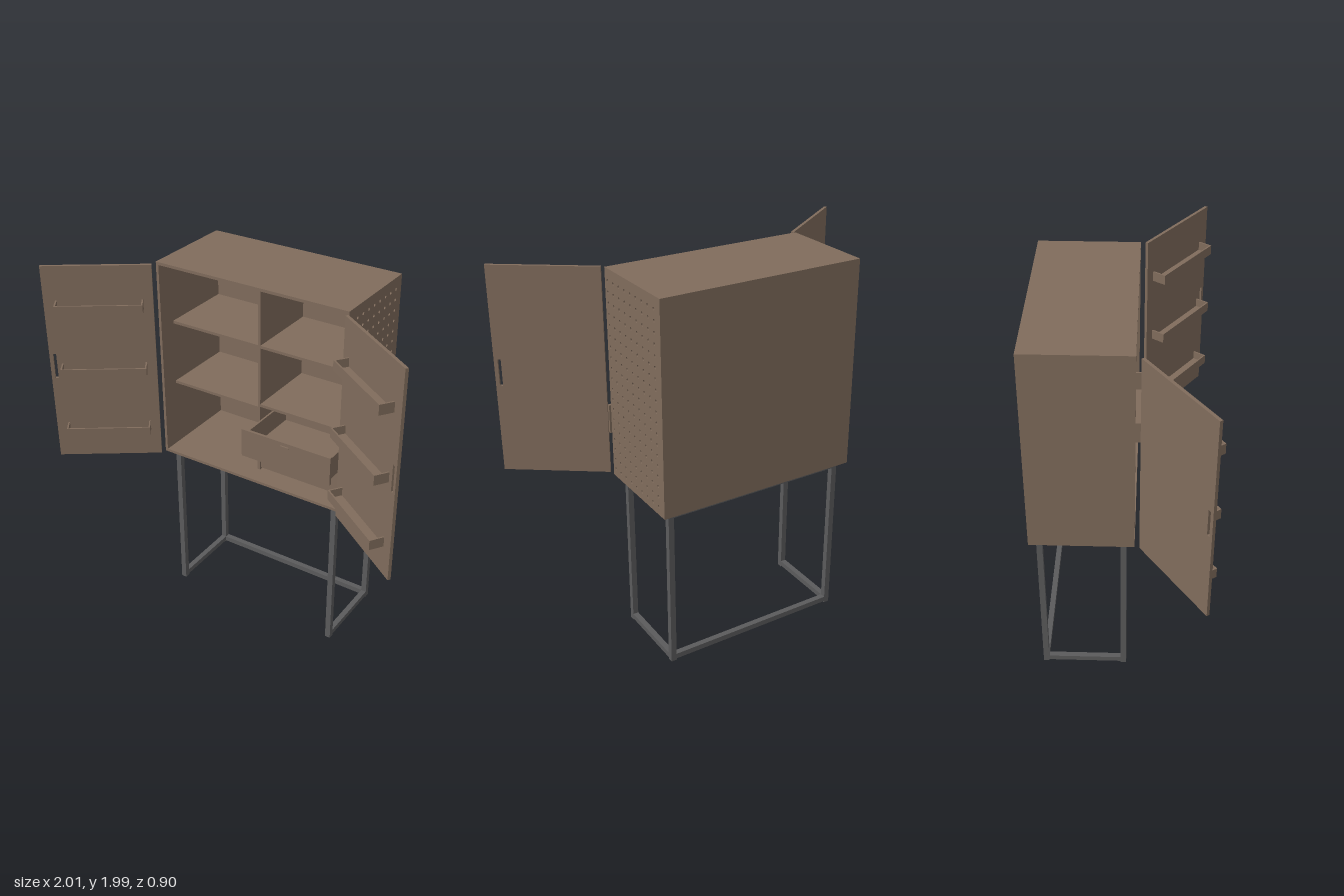
import * as THREE from 'three';

const wood = new THREE.MeshStandardMaterial({ color: 0x806c5c });
wood.name = 'walnut wood';
const metal = new THREE.MeshStandardMaterial({ color: 0x5b5b5c });
metal.name = 'dark grey metal';

// Box given by its min and max on each axis
function box(parent, name, x0, x1, y0, y1, z0, z1, mat = wood) {
  const m = new THREE.Mesh(new THREE.BoxGeometry(x1 - x0, y1 - y0, z1 - z0), mat);
  m.position.set((x0 + x1) / 2, (y0 + y1) / 2, (z0 + z1) / 2);
  m.name = name;
  parent.add(m);
  return m;
}

function group(parent, name) {
  const g = new THREE.Group();
  g.name = name;
  parent.add(g);
  return g;
}

function rect(Type, x0, x1, y0, y1) {
  const s = new Type();
  s.moveTo(x0, y0);
  s.lineTo(x1, y0);
  s.lineTo(x1, y1);
  s.lineTo(x0, y1);
  s.closePath();
  return s;
}

const W = 0.545, T = 0.015;          // half width, panel thickness
const Y0 = 0.885, Y1 = 1.985;        // cabinet bottom and top
const ZB = -0.455, ZF = 0.07;        // cabinet back and front
const ZS = -0.03;                    // front of the recessed shelves

function buildCabinet(root) {
  const g = group(root, 'cabinet');
  box(g, 'topPanel', -W, W, Y1 - T, Y1, ZB, ZF);
  box(g, 'bottomPanel', -W, W, Y0, Y0 + T, ZB, ZF);
  box(g, 'backPanel', -W, W, Y0 + T, Y1 - T, ZB, ZB + T);
  box(g, 'rightSidePanel', -W, -W + T, Y0 + T, Y1 - T, ZB + T, ZF);

  // Perforated side panel with a grid of round holes
  const side = rect(THREE.Shape, -ZF, -ZB, Y0, Y1);
  for (let r = 0; r < 19; r++) {
    for (let c = 0; c < 9; c++) {
      const hole = new THREE.Path();
      hole.absarc(-0.043 + c * 0.0553, 0.929 + r * 0.0553, 0.008, 0, Math.PI * 2, true);
      side.holes.push(hole);
    }
  }
  const sideMesh = new THREE.Mesh(
    new THREE.ExtrudeGeometry(side, { depth: T, bevelEnabled: false, curveSegments: 10 }), wood);
  sideMesh.rotation.y = Math.PI / 2;
  sideMesh.position.x = W - T + 0.0005;
  sideMesh.name = 'perforatedSidePanel';
  g.add(sideMesh);

  // Divider and shelves
  const zb = ZB + T, xi = W - T;
  box(g, 'divider', -0.0075, 0.0075, Y0 + T, Y1 - T, zb, ZS);
  for (const y of [1.265, 1.615]) box(g, 'rightShelf', -xi, -0.0075, y, y + T, zb, ZS);
  for (const y of [1.283, 1.615]) box(g, 'leftShelf', 0.0075, xi, y, y + T, zb, ZS);
}

// Open-topped drawer; z is the front face of its front board
function buildDrawer(root, name, y, z) {
  const g = group(root, name);
  const h = 0.155, t = 0.01, back = z - 0.4, zi = z - 0.015;
  const x0 = 0.025, x1 = 0.512, yb = y + 0.015, yt = y + 0.135;
  box(g, 'drawerFront', 0.012, 0.525, y, y + h, zi, z);
  box(g, 'drawerBottom', x0, x1, yb, yb + t, back, zi);
  box(g, 'drawerBack', x0, x1, yb + t, yt, back, back + t);
  for (const x of [x0, x1 - t]) box(g, 'drawerSide', x, x + t, yb + t, yt, back + t, zi);
  box(g, 'drawerPull', 0.243, 0.293, y + h - 0.024, y + h - 0.018, z, z + 0.008);
}

// Door hinged at the cabinet corner; s is +1 or -1 for the side
function buildDoor(root, name, s) {
  const g = group(root, name);
  const L = 0.55, t = 0.016;
  const span = (a, b) => (s > 0 ? [a, b] : [-b, -a]);
  const panel = rect(THREE.Shape, ...span(0, L), 0.89, 1.98);
  panel.holes.push(rect(THREE.Path, ...span(0.515, 0.531), 1.36, 1.5));
  const geo = new THREE.ExtrudeGeometry(panel, { depth: t, bevelEnabled: false });
  geo.translate(0, 0, -t / 2);
  const m = new THREE.Mesh(geo, wood);
  m.name = 'doorPanel';
  g.add(m);

  // Three narrow trays on the inner face
  const a = 0.05, b = 0.49, w = 0.008, z0 = t / 2, z1 = 0.083, h = 0.052;
  for (const y of [1.042, 1.393, 1.745]) {
    const tray = group(g, 'doorTray');
    box(tray, 'trayBottom', ...span(a, b), y, y + w, z0, z1);
    box(tray, 'trayFront', ...span(a, b), y + w, y + h, z1 - w, z1);
    box(tray, 'trayEnd', ...span(a, a + w), y + w, y + h, z0, z1 - w);
    box(tray, 'trayEnd', ...span(b - w, b), y + w, y + h, z0, z1 - w);
  }
  g.position.set(s * 0.549, 0, 0.1);
  g.rotation.y = -s * THREE.MathUtils.degToRad(35);
}

// Square-tube stand, open along the floor at the front
function buildStand(root) {
  const g = group(root, 'stand');
  const r = 0.015, X = 0.49, zf = 0.014, zk = -0.405;
  const bar = (name, x0, x1, y0, y1, z0, z1) => box(g, name, x0, x1, y0, y1, z0, z1, metal);
  for (const x of [-X, X]) {
    for (const z of [zf, zk]) bar('leg', x - r, x + r, 0, Y0, z - r, z + r);
    bar('topSideBar', x - r, x + r, Y0 - 0.03, Y0, zk + r, zf - r);
    bar('bottomSideBar', x - r, x + r, 0.008, 0.037, zk + r, zf - r);
  }
  for (const z of [zf, zk]) bar('topCrossBar', -X + r, X - r, Y0 - 0.03, Y0, z - r, z + r);
  bar('bottomBackBar', -X + r, X - r, 0.008, 0.037, zk - r, zk + r);
}

export function createModel() {
  const root = new THREE.Group();
  root.name = 'cabinetOnStand';
  buildCabinet(root);
  buildDrawer(root, 'lowerDrawer', 0.917, ZS);
  buildDrawer(root, 'openUpperDrawer', 1.087, 0.15);
  buildDoor(root, 'leftDoor', 1);
  buildDoor(root, 'rightDoor', -1);
  buildStand(root);
  return root;
}
